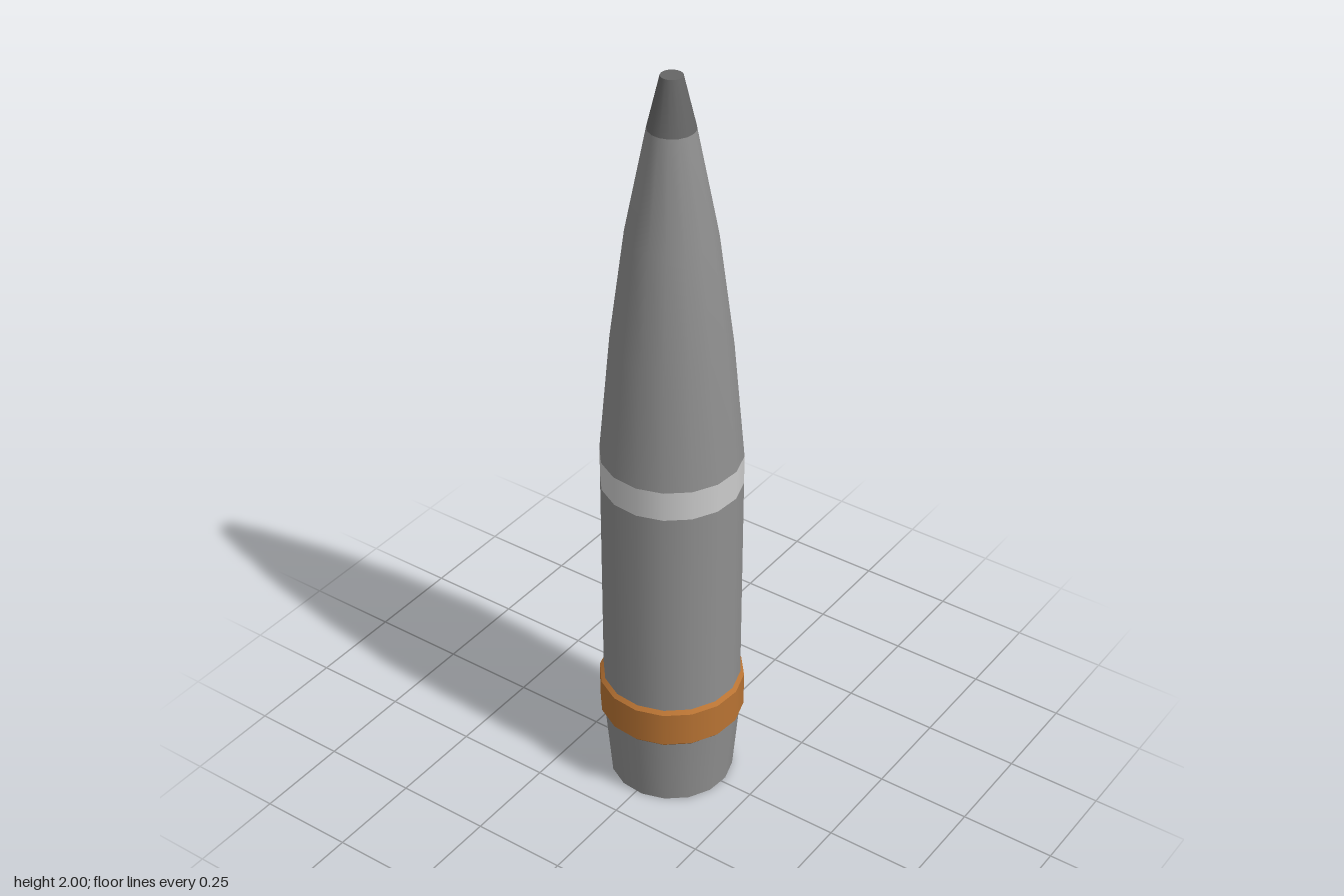
import * as THREE from 'three';
import { mergeGeometries } from 'three/addons/utils/BufferGeometryUtils.js';

const SIDES = 16;
const TURN = 0.107; // rotation of the 16-sided section about the axis

// Revolves several [radius, height] profiles; edges between profiles stay sharp
function turned(name, color, ...profiles) {
  const parts = profiles.map((p) =>
    new THREE.LatheGeometry(p.map(([r, y]) => new THREE.Vector2(r, y)), SIDES, TURN));
  const mesh = new THREE.Mesh(mergeGeometries(parts), new THREE.MeshStandardMaterial({ color }));
  mesh.name = name;
  return mesh;
}

export function createModel() {
  const group = new THREE.Group();
  group.name = 'shell';
  const steel = 0x8f8f8f;

  group.add(
    // Flat base and tapered tail
    turned('taperedBase', steel, [[0, 0], [0.161, 0]], [[0.161, 0], [0.178, 0.2]]),
    // Straight body
    turned('body', steel, [[0.178, 0.2], [0.178, 0.91]]),
    // Copper ring with small chamfers
    turned('drivingBand', 0xb87333,
      [[0.178, 0.2], [0.188, 0.21]],
      [[0.188, 0.21], [0.188, 0.305]],
      [[0.188, 0.305], [0.178, 0.314]]),
    // Pale painted stripe
    turned('paintedStripe', 0xcccccc, [[0.178, 0.91], [0.178, 0.99]]),
    // Curved nose
    turned('nose', steel, [[0.178, 0.99], [0.149, 1.31], [0.111, 1.6], [0.058, 1.87]]),
    // Dark fuze with a blunt tip
    turned('fuze', 0x666666, [[0.058, 1.87], [0.027, 2]], [[0.027, 2], [0, 2]]),
  );
  return group;
}
